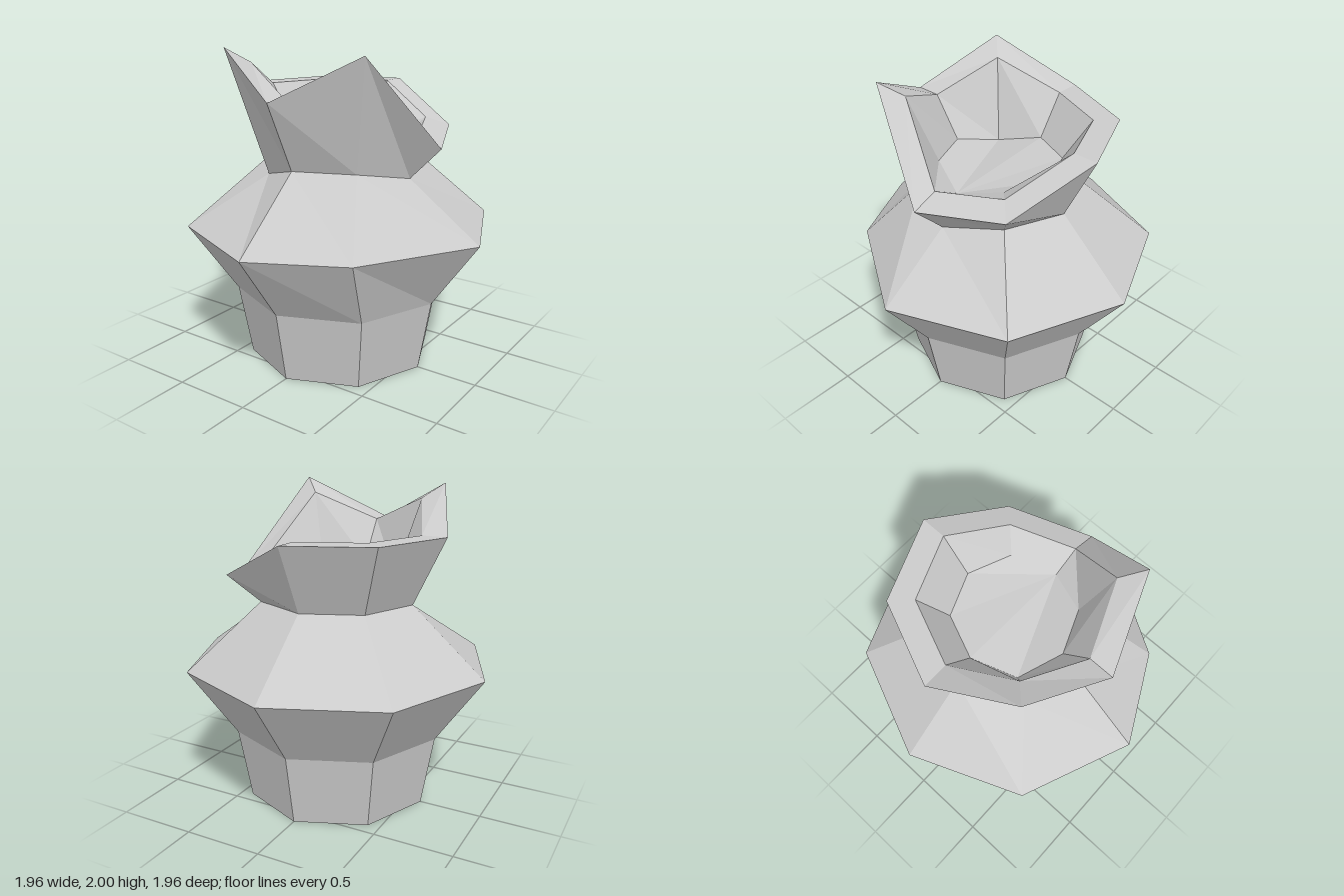
import * as THREE from 'three';

const SIDES = 8;

// Eight-sided ring, index 0 = front, 2 = +x, 4 = back, 6 = -x.
// heights overrides y per corner, xs overrides x per corner.
function ring(radius, y, heights = {}, xs = {}) {
  return Array.from({ length: SIDES }, (_, i) => {
    const a = (i / SIDES) * Math.PI * 2;
    return new THREE.Vector3(
      xs[i] ?? radius * Math.sin(a),
      heights[i] ?? y,
      radius * Math.cos(a)
    );
  });
}

function facetedMesh(name, points, material) {
  const geometry = new THREE.BufferGeometry().setFromPoints(points);
  geometry.computeVertexNormals();
  const mesh = new THREE.Mesh(geometry, material);
  mesh.name = name;
  return mesh;
}

// Triangles joining two neighbouring rings
function band(lower, upper) {
  const points = [];
  for (let i = 0; i < SIDES; i++) {
    const j = (i + 1) % SIDES;
    points.push(lower[i], lower[j], upper[i], upper[i], lower[j], upper[j]);
  }
  return points;
}

export function createModel() {
  const group = new THREE.Group();
  group.name = 'brokenPot';
  const material = new THREE.MeshStandardMaterial({
    color: 0xcccccc, flatShading: true, side: THREE.DoubleSide
  });

  // Cross-sections from the open foot up to the chipped rim and down inside
  const foot = ring(0.6, 0);
  const waist = ring(0.68, 0.46);
  const belly = ring(0.982, 0.895, {}, { 1: 0.56 });
  const neck = ring(0.506, 1.31, { 2: 1.235, 7: 1.225 }, { 7: -0.3 });
  const rimOuter = ring(0.71, 1.735, { 1: 2, 2: 1.44, 3: 1.49, 7: 2 });
  const rimInner = ring(0.55, 1.735, { 1: 1.91, 2: 1.505, 3: 1.545, 7: 1.91 });
  const bowl = ring(0.378, 1.48, { 2: 1.41, 7: 1.41 });

  const bands = [
    ['base', foot, waist],
    ['lowerBelly', waist, belly],
    ['shoulder', belly, neck],
    ['collar', neck, rimOuter],
    ['rim', rimOuter, rimInner],
    ['innerWall', rimInner, bowl]
  ];
  for (const [name, lower, upper] of bands) {
    group.add(facetedMesh(name, band(lower, upper), material));
  }

  // Bowl floor: a fan from the +x corner
  const floor = [];
  for (let k = 1; k < SIDES - 1; k++) {
    floor.push(bowl[2], bowl[(2 + k) % SIDES], bowl[(3 + k) % SIDES]);
  }
  group.add(facetedMesh('bowlFloor', floor, material));

  return group;
}
